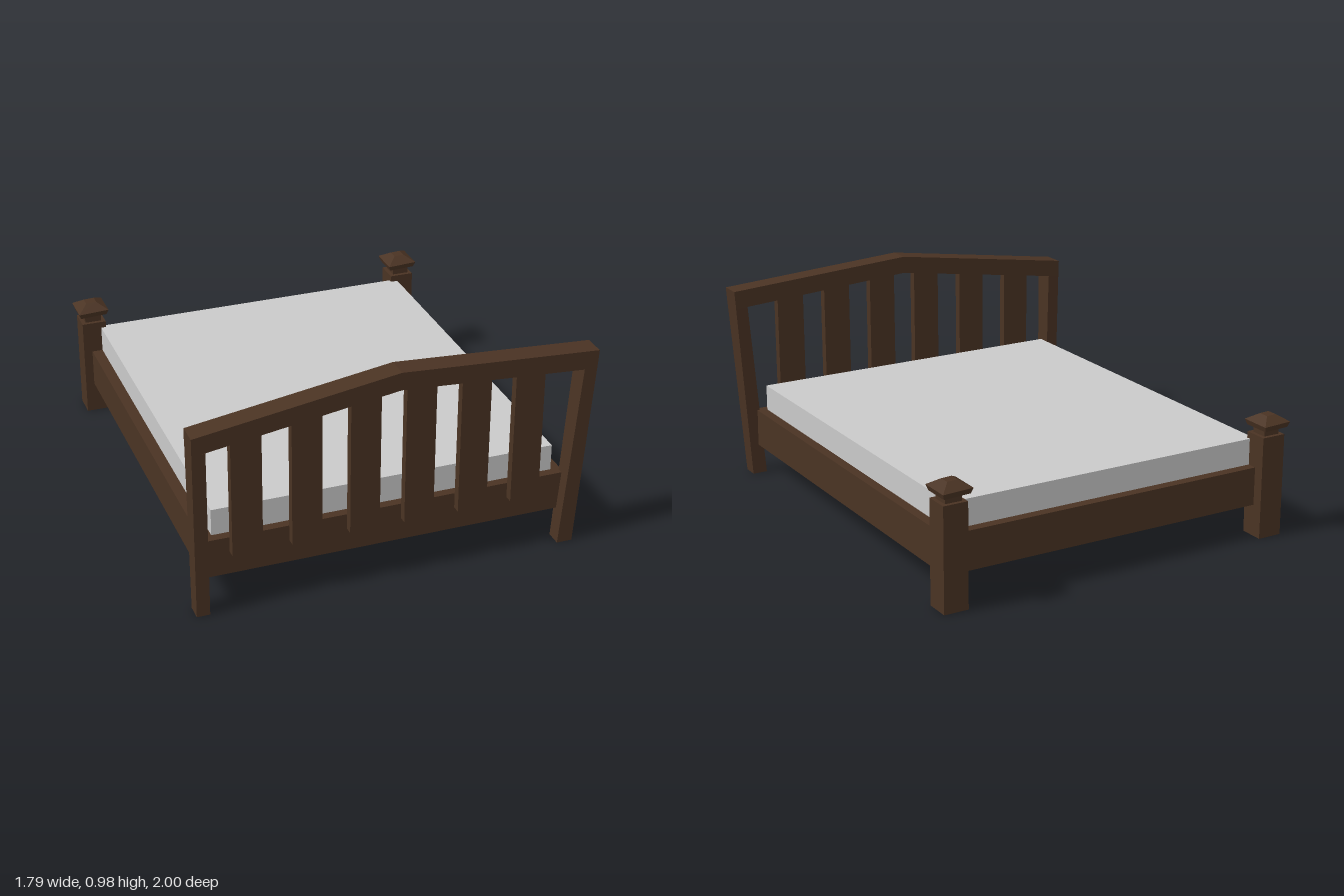
import * as THREE from 'three';

export function createModel() {
  const bed = new THREE.Group();
  bed.name = 'bed';
  const wood = new THREE.MeshStandardMaterial({ color: 0x4a3323 });
  wood.name = 'dark wood';
  const fabric = new THREE.MeshStandardMaterial({ color: 0xcacaca });
  fabric.name = 'grey fabric';

  function add(name, geometry, material = wood) {
    const mesh = new THREE.Mesh(geometry, material);
    mesh.name = name;
    bed.add(mesh);
    return mesh;
  }

  // Block between two heights; each end is a rectangle [x0, x1, z0, z1]
  function block(y0, y1, bottom, top = bottom, skew = 0) {
    const g = new THREE.BoxGeometry(1, 1, 1);
    const p = g.attributes.position;
    for (let i = 0; i < p.count; i++) {
      const isTop = p.getY(i) > 0;
      const [x0, x1, z0, z1] = isTop ? top : bottom;
      const x = p.getX(i) > 0 ? x1 : x0;
      const z = p.getZ(i) > 0 ? z1 : z0;
      p.setXYZ(i, x, isTop ? y1 : y0, z - skew * (x - (x0 + x1) / 2));
    }
    g.computeVertexNormals();
    return g;
  }

  // Square cross-section around a centre
  const square = (cx, cz, half) => [cx - half, cx + half, cz - half, cz + half];

  // Mattress and the solid base below it
  add('mattress', block(0.32, 0.44, [-0.79, 0.745, -0.873, 0.905]), fabric);
  add('base', block(0.145, 0.32, [-0.79, 0.745, -0.873, 0.905]));

  // Rails
  add('leftRail', block(0.145, 0.32, [0.745, 0.79, -0.86, 0.945]));
  add('rightRail', block(0.145, 0.32, [-0.84, -0.79, -0.86, 0.945]));
  add('footRail', block(0.145, 0.32, [-0.78, 0.72, -0.918, -0.873]));
  add('headRail', block(0.145, 0.32, [-0.84, 0.77, 0.905, 0.945]));

  // Foot posts with neck and flared, faceted cap
  for (const [side, cx] of [['right', -0.823], ['left', 0.767]]) {
    const cz = -0.911;
    const capZ = -0.918;
    add(side + 'Post', block(0, 0.47, square(cx, cz, 0.057)));
    add(side + 'PostNeck', block(0.47, 0.505, square(cx, cz, 0.039)));
    add(side + 'CapFlare', block(0.505, 0.53, square(cx, capZ, 0.064), square(cx, capZ, 0.073), 0.09));
    add(side + 'CapTop', block(0.53, 0.56, square(cx, capZ, 0.073), square(cx, capZ, 0.025), 0.09));
  }

  // Headboard legs: one upright, one leaning outward, both thicker at the top
  add('rightHeadLeg', block(0, 0.766, [-0.89, -0.832, 0.927, 1], [-0.89, -0.832, 0.903, 1]));
  add('leftHeadLeg', block(0, 0.84, [0.75, 0.82, 0.927, 1], [0.826, 0.884, 0.902, 1]));

  // Uneven peaked top of the headboard
  const arch = new THREE.Shape([
    [-0.89, 0.762], [-0.832, 0.768], [0, 0.895], [0.826, 0.84],
    [0.884, 0.836], [0.89, 0.92], [0, 0.975], [-0.89, 0.84],
  ].map(([x, y]) => new THREE.Vector2(x, y)));
  const archGeometry = new THREE.ExtrudeGeometry(arch, { depth: 0.1, bevelEnabled: false });
  archGeometry.translate(0, 0, 0.9);
  add('headboardTop', archGeometry);

  // Slats reaching up into the arch
  [-0.659, -0.4, -0.145, 0.098, 0.343, 0.587].forEach((x, i) => {
    const under = x < 0 ? 0.895 + x * 0.153 : 0.895 - x * 0.067;
    add('slat' + (i + 1), block(0.25, under + 0.03, [x - 0.066, x + 0.066, 0.945, 0.983]));
  });

  return bed;
}
